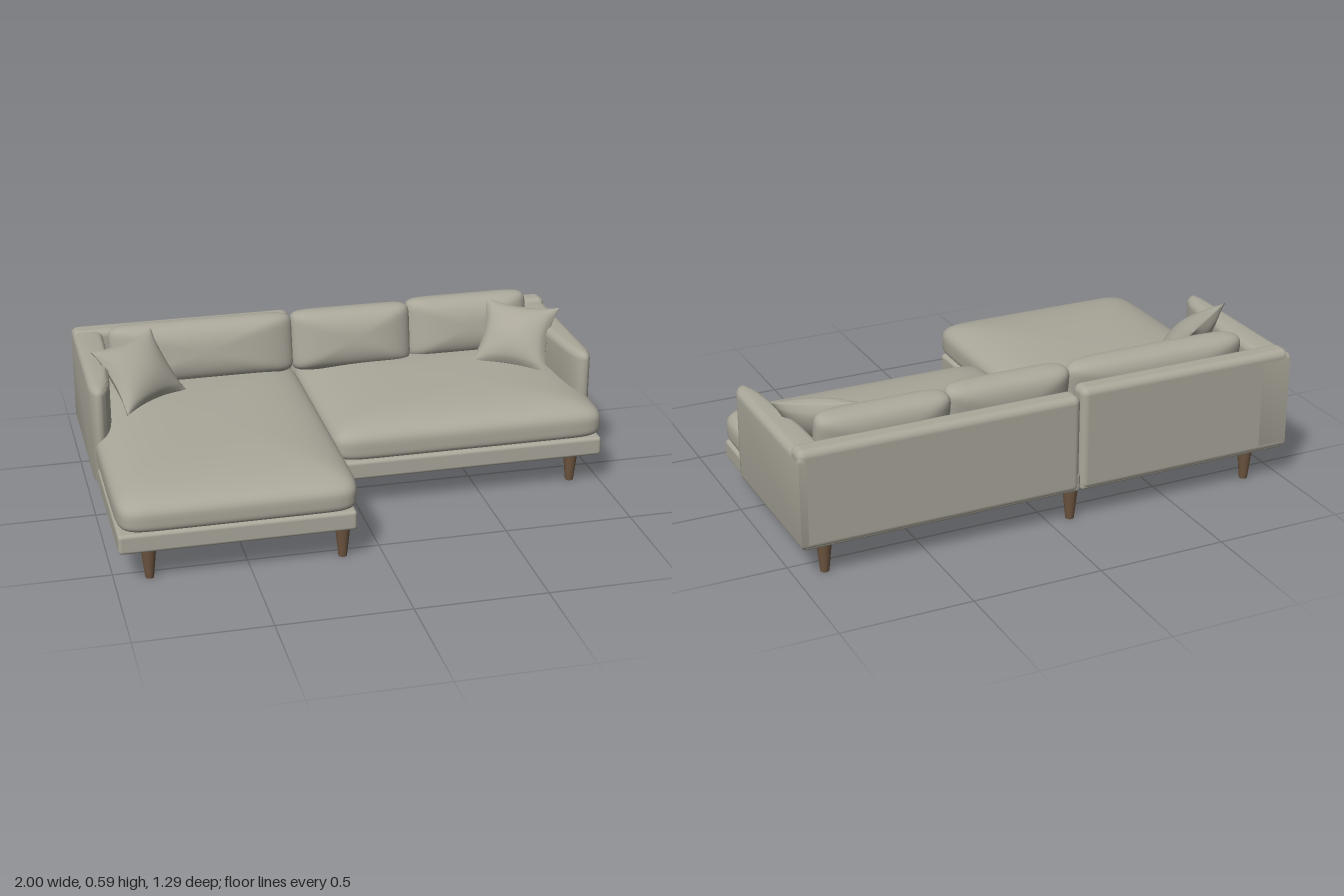
import * as THREE from 'three';
import { mergeVertices, toCreasedNormals } from 'three/addons/utils/BufferGeometryUtils.js';
import { RoundedBoxGeometry } from 'three/addons/geometries/RoundedBoxGeometry.js';

const fabric = new THREE.MeshStandardMaterial({ color: 0xaaa79a });
fabric.name = 'greyFabric';
const wood = new THREE.MeshStandardMaterial({ color: 0x6e5540 });
wood.name = 'brownWood';

function add(group, name, geometry, material, x = 0, y = 0, z = 0) {
  const mesh = new THREE.Mesh(geometry, material);
  mesh.name = name;
  mesh.position.set(x, y, z);
  group.add(mesh);
  return mesh;
}

// Moves every vertex by a rule and smooths the result
function deform(geometry, rule) {
  geometry.deleteAttribute('uv');
  geometry.deleteAttribute('normal');
  const g = mergeVertices(geometry, 1e-5);
  const p = g.attributes.position;
  const v = new THREE.Vector3();
  for (let i = 0; i < p.count; i++) {
    v.fromBufferAttribute(p, i);
    rule(v);
    p.setXYZ(i, v.x, v.y, v.z);
  }
  g.computeVertexNormals();
  return g;
}

// Stuffed cushion lying flat: domed above its seam (y = 0), with its own fullness below
function cushionGeometry(width, depth, up, down, corner, dome, base) {
  return deform(new THREE.BoxGeometry(2, 2, 2, 32, 16, 32), (v) => {
    const b = v.y > 0 ? dome : base;
    const flat = Math.pow(Math.abs(v.x) ** corner + Math.abs(v.z) ** corner, b / corner);
    v.multiplyScalar(Math.pow(flat + Math.abs(v.y) ** b, -1 / b));
    v.set(v.x * width / 2, v.y * (v.y > 0 ? up : down), v.z * depth / 2);
  });
}

// Throw pillow with drawn-out corners
function pillowGeometry(width, height, thickness) {
  return deform(new THREE.BoxGeometry(2, 2, 2, 20, 20, 2), (v) => {
    const fx = 1 - v.x * v.x, fy = 1 - v.y * v.y;
    const t = 0.003 + thickness / 2 * Math.pow(Math.max(fx * fy, 0), 0.6);
    v.set(v.x * width / 2 * (1 - 0.15 * fy), v.y * height / 2 * (1 - 0.13 * fx), v.z * t);
  });
}

// Box given by its limits, with softened edges
function softBox(group, name, [x0, x1], [y0, y1], [z0, z1], radius) {
  add(group, name, new RoundedBoxGeometry(x1 - x0, y1 - y0, z1 - z0, 4, radius), fabric,
    (x0 + x1) / 2, (y0 + y1) / 2, (z0 + z1) / 2);
}

// Arm: plan outline with a rounded front, raised with a soft top edge
function armGeometry(side, top) {
  const s = new THREE.Shape();
  s.moveTo(side * 0.995, 0.65);
  s.lineTo(side * 0.998, 0.03);
  s.quadraticCurveTo(side * 0.99, -0.035, side * 0.965, -0.035);
  s.quadraticCurveTo(side * 0.925, -0.03, side * 0.91, 0.1);
  s.lineTo(side * 0.88, 0.4);
  s.lineTo(side * 0.875, 0.65);
  s.closePath();
  const bevel = 0.03;
  const g = new THREE.ExtrudeGeometry(s, {
    depth: top - 0.13 - 2 * bevel, bevelSize: bevel, bevelThickness: bevel,
    bevelOffset: -bevel, bevelSegments: 6, curveSegments: 10,
  });
  g.rotateX(-Math.PI / 2);
  g.translate(0, 0.13 + bevel, 0);
  return toCreasedNormals(g, 0.7);
}

export function createModel() {
  const sofa = new THREE.Group();
  sofa.name = 'cornerSofa';

  // Plinths
  softBox(sofa, 'chaiseBase', [-0.985, -0.108], [0.13, 0.207], [-0.645, 0.61], 0.014);
  softBox(sofa, 'seatBase', [-0.106, 0.985], [0.13, 0.207], [-0.645, 0.2], 0.014);

  // Back frame in two sections
  softBox(sofa, 'chaiseBack', [-0.995, -0.104], [0.13, 0.54], [-0.65, -0.56], 0.028);
  softBox(sofa, 'seatBack', [-0.102, 0.995], [0.13, 0.515], [-0.65, -0.56], 0.028);

  // Arms
  add(sofa, 'rightArm', armGeometry(-1, 0.535), fabric);
  add(sofa, 'leftArm', armGeometry(1, 0.5), fabric);

  // Seat cushions
  add(sofa, 'chaiseCushion', cushionGeometry(0.89, 1.245, 0.1, 0.07, 14, 3, 6), fabric, -0.542, 0.275, 0.022);
  add(sofa, 'seatCushion', cushionGeometry(1.09, 0.82, 0.1, 0.07, 14, 3, 6), fabric, 0.445, 0.272, -0.19);

  // Back cushions: [name, left edge, right edge, z]
  const backCushions = [
    ['chaiseBackCushion', -0.865, -0.118, -0.475],
    ['middleBackCushion', -0.125, 0.375, -0.475],
    ['endBackCushion', 0.368, 0.885, -0.505],
  ];
  for (const [name, x0, x1, z] of backCushions) {
    const g = cushionGeometry(x1 - x0, 0.25, 0.09, 0.075, 9, 2.4, 2.6);
    g.rotateX(Math.PI / 2);
    const mesh = add(sofa, name, g, fabric, (x0 + x1) / 2, 0.46, z);
    mesh.rotation.x = -0.17;
  }

  // Throw pillows leaning in the corners
  const pillows = [
    ['rightPillow', 0.33, -0.775, 0.477, -0.255, 0.66, 0],
    ['leftPillow', 0.31, 0.785, 0.462, -0.315, -0.49, -0.06],
  ];
  for (const [name, width, x, y, z, yaw, roll] of pillows) {
    const mesh = add(sofa, name, pillowGeometry(width, 0.285, 0.13), fabric, x, y, z);
    mesh.rotation.set(-0.7, yaw, roll, 'YXZ');
  }

  // Tapered legs: [x, z]
  const legs = [
    [-0.87, 0.545], [-0.15, 0.545], [-0.08, 0.12], [0.885, 0.12],
    [0.885, -0.575], [-0.09, -0.59], [-0.86, -0.58],
  ];
  legs.forEach(([x, z], i) => {
    add(sofa, `leg${i + 1}`, new THREE.CylinderGeometry(0.031, 0.016, 0.14, 16), wood, x, 0.07, z);
  });

  // Raked side leg, flared forward at the top
  const raked = new THREE.CylinderGeometry(0.031, 0.018, 0.14, 16);
  const p = raked.attributes.position;
  for (let i = 0; i < p.count; i++) {
    if (p.getY(i) > 0) p.setZ(i, p.getZ(i) * 2 + 0.038);
  }
  add(sofa, 'rakedSideLeg', toCreasedNormals(raked, 0.8), wood, -0.865, 0.07, -0.077);

  return sofa;
}
